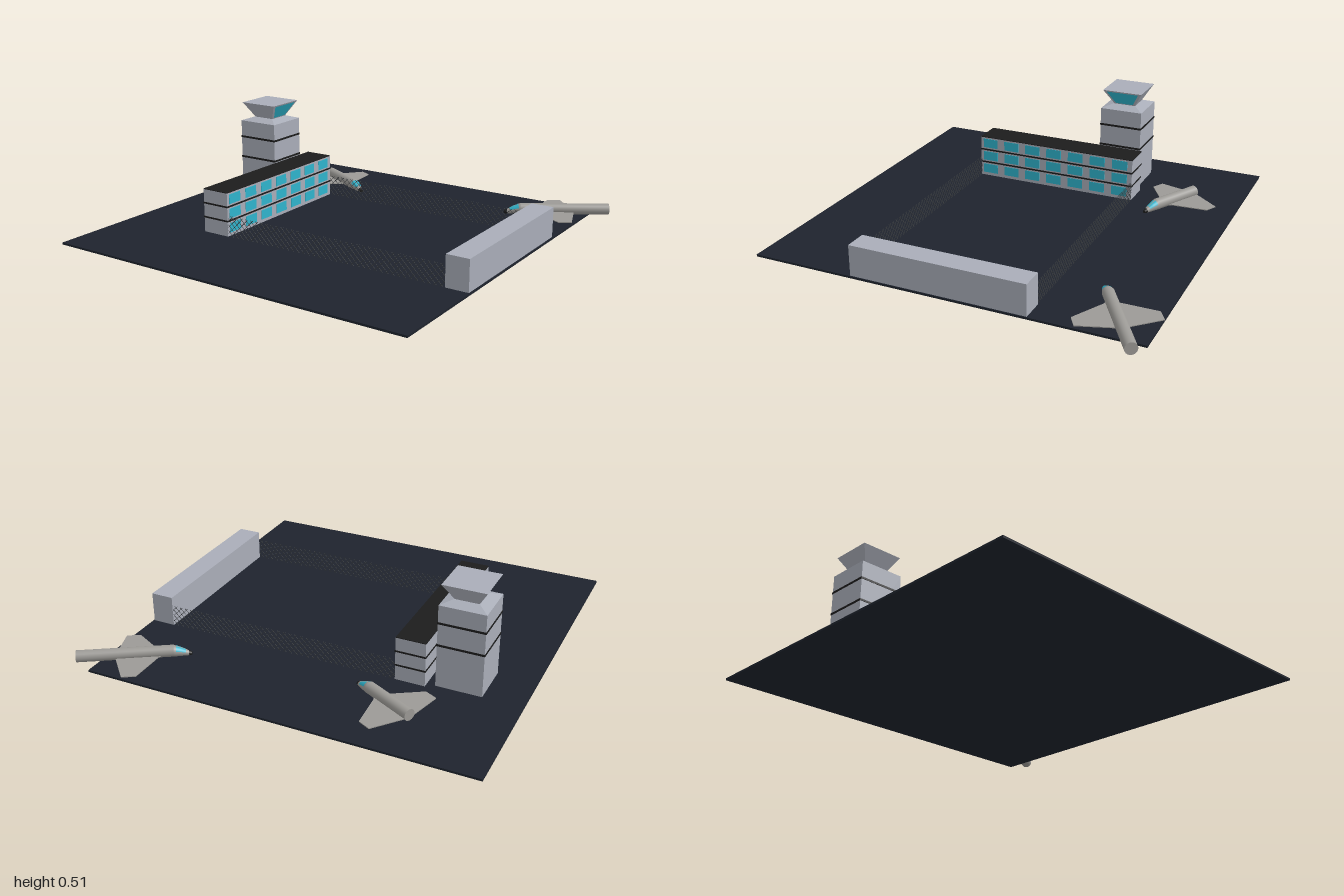
import * as THREE from 'three';
import { mergeGeometries } from 'three/addons/utils/BufferGeometryUtils.js';
import { ParametricGeometry } from 'three/addons/geometries/ParametricGeometry.js';

const mat = (color, extra = {}) => new THREE.MeshStandardMaterial({ color, ...extra });
const wall = mat(0xa9adb8, { flatShading: true });
const asphalt = mat(0x1e232d);
const black = mat(0x1c1c1c);
const glass = mat(0x2fb4cc, { side: THREE.DoubleSide });
const metal = mat(0x9c9a96, { side: THREE.DoubleSide });
const wire = mat(0x3a3d40);

function add(parent, name, geometry, material, x = 0, y = 0, z = 0) {
  const mesh = new THREE.Mesh(geometry, material);
  mesh.name = name;
  mesh.position.set(x, y, z);
  parent.add(mesh);
  return mesh;
}

// Box given by its limits on each axis
function block(parent, name, material, x0, x1, y0, y1, z0, z1) {
  return add(parent, name, new THREE.BoxGeometry(x1 - x0, y1 - y0, z1 - z0), material,
    (x0 + x1) / 2, (y0 + y1) / 2, (z0 + z1) / 2);
}

// Square frustum with half widths at top and bottom
function frustum(parent, name, top, bottom, y0, y1) {
  const g = new THREE.CylinderGeometry(top * Math.SQRT2, bottom * Math.SQRT2, y1 - y0, 4);
  g.rotateY(Math.PI / 4);
  return add(parent, name, g, wall, 0, (y0 + y1) / 2, 0);
}

function controlTower() {
  const g = new THREE.Group();
  g.name = 'controlTower';
  block(g, 'towerShaft', wall, -0.11, 0.11, 0.01, 0.417, -0.11, 0.11);
  for (const y of [0.22, 0.33]) block(g, 'towerBand', black, -0.112, 0.112, y - 0.005, y + 0.005, -0.112, 0.112);
  frustum(g, 'towerShoulder', 0.06, 0.11, 0.417, 0.434);
  frustum(g, 'towerCab', 0.104, 0.055, 0.432, 0.515);
  // Sloping window on the side facing the apron
  const at = (y, inset) => {
    const half = 0.055 + 0.049 * (y - 0.432) / 0.083;
    return [half + 0.002, y, half - inset];
  };
  const [xl, yl, zl] = at(0.439, 0.012), [xh, yh, zh] = at(0.508, 0.015);
  const win = new THREE.BufferGeometry();
  win.setAttribute('position', new THREE.Float32BufferAttribute(
    [xl, yl, zl, xl, yl, -zl, xh, yh, -zh, xh, yh, zh], 3));
  win.setIndex([0, 1, 2, 0, 2, 3]);
  win.computeVertexNormals();
  add(g, 'cabWindow', win, glass);
  g.position.set(-0.7, 0, -0.28);
  return g;
}

function terminal() {
  const g = new THREE.Group();
  g.name = 'terminal';
  const x0 = -0.55, x1 = -0.405, z0 = -0.415, z1 = 0.44;
  block(g, 'terminalWalls', wall, x0, x1, 0.01, 0.225, z0, z1);
  block(g, 'terminalRoof', black, x0, x1, 0.225, 0.228, z0, z1);
  for (const y of [0.086, 0.157]) block(g, 'floorBand', black, x0 - 0.002, x1 + 0.002, y - 0.004, y + 0.004, z0 - 0.002, z1 + 0.002);
  for (let floor = 0; floor < 3; floor++) {
    for (let i = 0; i < 7; i++) {
      const y = 0.05 + floor * 0.0715, z = 0.384 - i * 0.122;
      block(g, 'terminalWindow', glass, x1 - 0.005, x1 + 0.002, y - 0.024, y + 0.024, z - 0.041, z + 0.041);
    }
  }
  return g;
}

// Chain-link fence made of crossing diagonal wires, clipped at both ends
function fence(z) {
  const x0 = -0.405, x1 = 0.775, y0 = 0.01, h = 0.105, pitch = 0.03, parts = [];
  for (let s = x0 - h; s < x1; s += pitch) {
    const a = Math.max(s, x0), b = Math.min(s + h, x1), len = (b - a) * Math.SQRT2;
    if (len < 0.004) continue;
    for (const dir of [1, -1]) {
      const bar = new THREE.BoxGeometry(len, 0.0018, 0.0018);
      bar.rotateZ(dir * Math.PI / 4);
      const rise = (a + b) / 2 - s;
      bar.translate((a + b) / 2, y0 + (dir > 0 ? rise : h - rise), 0);
      parts.push(bar);
    }
  }
  const mesh = new THREE.Mesh(mergeGeometries(parts), wire);
  mesh.name = 'fence';
  mesh.position.z = z;
  return mesh;
}

// Fuselage stations: distance behind the nose, radius, centre height
const stations = [[0, 0.007, 0.021], [0.015, 0.012, 0.024], [0.05, 0.021, 0.033], [0.085, 0.028, 0.04], [1, 0.028, 0.04]];
function station(s) {
  let i = 0;
  while (i < stations.length - 2 && s > stations[i + 1][0]) i++;
  const [a, b] = [stations[i], stations[i + 1]];
  const t = (s - a[0]) / (b[0] - a[0]);
  return [a[1] + (b[1] - a[1]) * t, a[2] + (b[2] - a[2]) * t];
}

// Skin patch between two distances and two angles round the body
function skin(s0, s1, a0, a1, offset, rows) {
  return new ParametricGeometry((u, v, p) => {
    const s = s1 + (s0 - s1) * v, a = a0 + (a1 - a0) * u;
    const [r, y] = station(s);
    p.set((r + offset) * Math.cos(a), y + (r + offset) * Math.sin(a), -s);
  }, 24, rows);
}

function airplane(length, x, z, dx, dz) {
  const g = new THREE.Group();
  g.name = 'airplane';
  add(g, 'nose', skin(0.012, 0.1, 0, Math.PI * 2, 0, 12), metal);
  add(g, 'fuselage', skin(0.1, length, 0, Math.PI * 2, 0, 1), metal);
  add(g, 'noseTip', skin(0, 0.014, 0, Math.PI * 2, 0.0005, 2), black);
  add(g, 'noseCap', new THREE.CircleGeometry(0.0075, 24), black, 0, 0.021, 0);
  for (const [a, b] of [[0.12, 0.46], [0.54, 0.88]]) {
    add(g, 'windshield', skin(0.028, 0.072, a * Math.PI, b * Math.PI, 0.001, 6), glass);
  }
  const cap = add(g, 'tailCap', new THREE.CircleGeometry(0.028, 24), metal, 0, 0.04, -length);
  cap.rotation.y = Math.PI;
  // Swept wings cut from one thin plate
  const half = [[0.01, 0.125], [0.033, 0.155], [0.187, 0.248], [0.187, 0.314], [0.028, 0.35]];
  const outline = [...half, ...half.map(([w, s]) => [-w, s]).reverse()];
  const plate = new THREE.ExtrudeGeometry(
    new THREE.Shape(outline.map(([w, s]) => new THREE.Vector2(w, -s))), { depth: 0.004, bevelEnabled: false });
  plate.rotateX(Math.PI / 2).scale(1, 1, 1);
  add(g, 'wings', plate, metal, 0, 0.029, 0);
  g.position.set(x, 0, z);
  g.rotation.y = Math.atan2(dx, dz);
  return g;
}

export function createModel() {
  const model = new THREE.Group();
  model.name = 'airport';
  block(model, 'apron', asphalt, -1, 0.893, 0, 0.01, -0.94, 0.94);
  model.add(controlTower(), terminal());
  block(model, 'hangar', wall, 0.775, 0.888, 0.01, 0.16, -0.42, 0.435);
  model.add(fence(-0.415), fence(0.435));
  model.add(airplane(0.355, -0.275, -0.53, 0.888, 0.459));
  model.add(airplane(0.53, 0.535, -0.625, -0.85, 0.527));
  return model;
}
